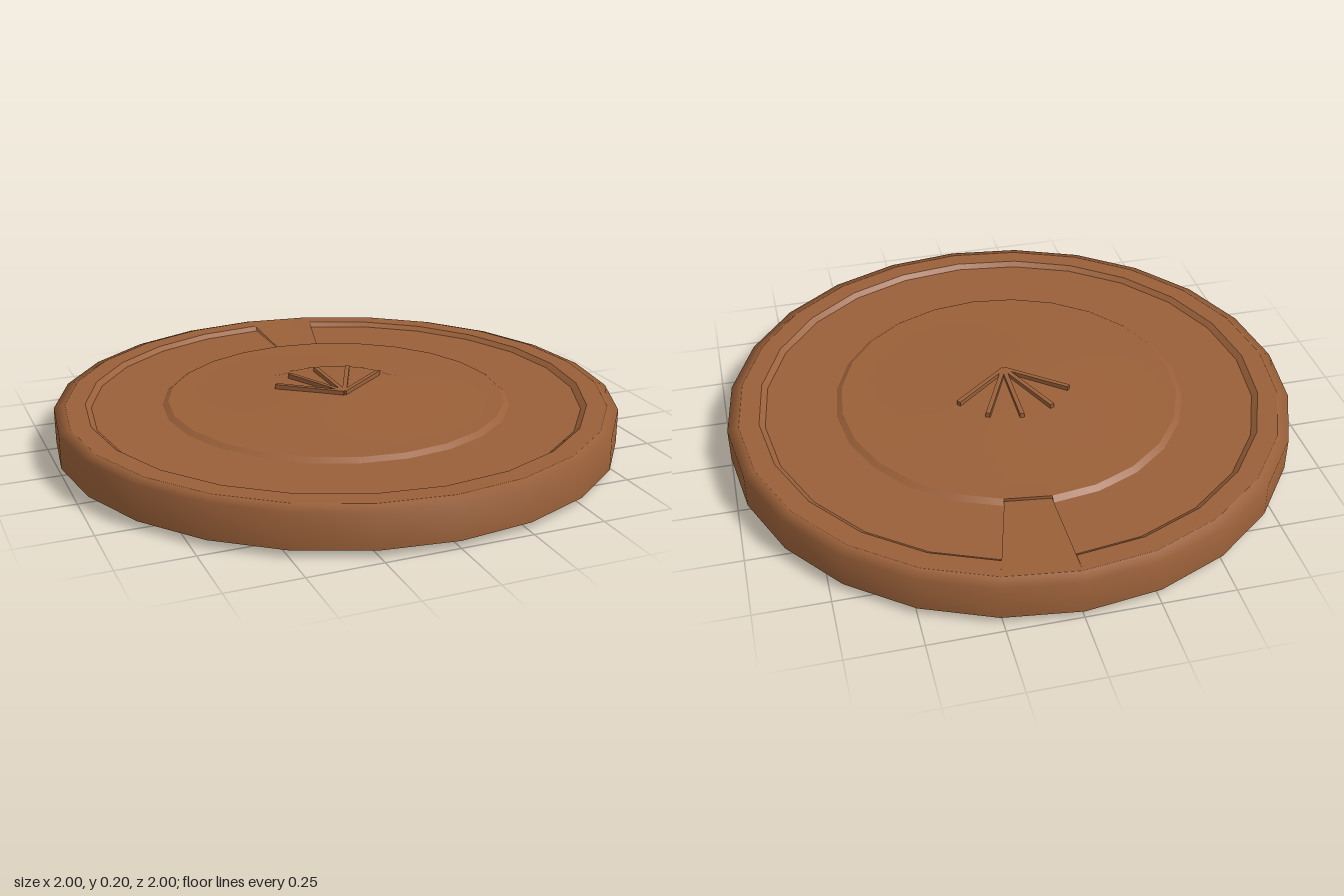
import * as THREE from 'three';

const SIDES = 24;
const STEP = (Math.PI * 2) / SIDES;

export function createModel() {
  const model = new THREE.Group();
  const clay = new THREE.MeshStandardMaterial({ color: 0x9a6039, side: THREE.DoubleSide });
  clay.name = 'brown clay';

  const add = (name, geometry) => {
    const mesh = new THREE.Mesh(geometry, clay);
    mesh.name = name;
    model.add(mesh);
    return mesh;
  };
  // Profile of [radius, height]; a repeated point makes a sharp edge
  const turned = (name, profile, sides = SIDES, start = 0) =>
    add(name, new THREE.LatheGeometry(
      profile.map(([r, y]) => new THREE.Vector2(r, y)), sides, start, sides * STEP));

  // Underside, edge and outer bevel
  turned('body', [
    [0, 0], [0.94, 0], [0.94, 0], [1, 0.025], [1, 0.025],
    [1, 0.148], [0.96, 0.16],
  ]);

  // Raised rim and sunken band, open for one segment at the back
  turned('rimAndBand', [
    [0.96, 0.16], [0.89, 0.16], [0.89, 0.16], [0.87, 0.145], [0.87, 0.145],
    [0.62, 0.145], [0.62, 0.145], [0.6, 0.158],
  ], SIDES - 1, Math.PI);

  // Sloping patch that fills the open segment
  turned('ramp', [[0.96, 0.16], [0.6, 0.147]], 1, Math.PI - STEP);

  // Inner disc swelling into the hub
  turned('innerDisc', [
    [0.6, 0.143], [0.6, 0.158], [0.6, 0.158], [0.3, 0.163],
    [0.25, 0.179], [0, 0.183],
  ]);

  // Fan of thin ribs spreading from one point on the hub
  const foot = new THREE.Vector2(0, 0.08);
  const tips = [[-0.2, -0.08], [-0.115, -0.17], [0, -0.2], [0.115, -0.17], [0.2, -0.08]];
  for (const [x, z] of tips) {
    const dx = x - foot.x, dz = z - foot.y;
    const rib = add('fanRib', new THREE.BoxGeometry(0.016, 0.025, Math.hypot(dx, dz)));
    rib.position.set((x + foot.x) / 2, 0.184, (z + foot.y) / 2);
    rib.rotation.y = Math.atan2(dx, dz);
  }
  return model;
}
